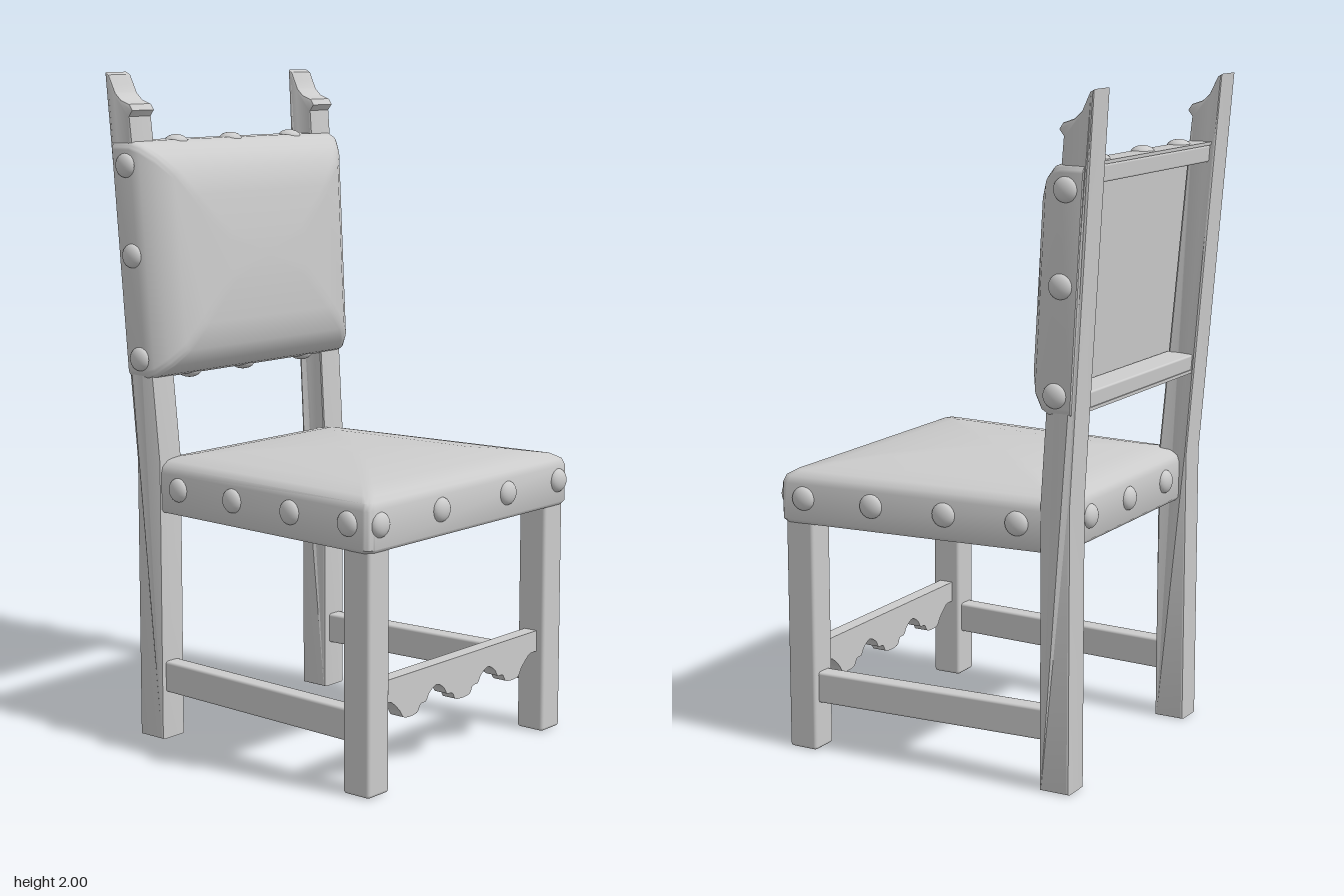
import * as THREE from 'three';
import { toCreasedNormals } from 'three/addons/utils/BufferGeometryUtils.js';
import { RoundedBoxGeometry } from 'three/addons/geometries/RoundedBoxGeometry.js';

const material = new THREE.MeshStandardMaterial({ color: 0xcccccc });

// Rounded rectangle, counter-clockwise
function roundedRect(hx, hy, radius) {
  const r = Math.min(radius, hx, hy), pts = [];
  for (let c = 0; c < 4; c++) {
    const sx = c === 0 || c === 3 ? 1 : -1, sy = c < 2 ? 1 : -1;
    for (let k = 0; k <= 5; k++) {
      const a = (c + k / 5) * Math.PI / 2;
      pts.push([sx * (hx - r) + r * Math.cos(a), sy * (hy - r) + r * Math.sin(a)]);
    }
  }
  return pts;
}

// Upholstery: rings of [inset, height], placed in space by map(x, v, w)
function upholstery(hx, hy, rings, map) {
  const pos = [], idx = [], n = 24;
  rings.forEach(([inset, w], i) => {
    const loop = roundedRect(Math.max(hx - inset, 0), Math.max(hy - inset, 0), 0.025);
    loop.forEach(([x, v], j) => {
      pos.push(...map(x, v, w));
      if (i === 0) return;
      const a = (i - 1) * n + j, b = (i - 1) * n + (j + 1) % n;
      idx.push(a, b, b + n, a, b + n, a + n);
    });
  });
  const g = new THREE.BufferGeometry();
  g.setAttribute('position', new THREE.Float32BufferAttribute(pos, 3));
  g.setIndex(idx);
  return toCreasedNormals(g, 0.75);
}

// Back leg: side profile with carved finial, splayed outwards above the seat
function backLegGeometry(side) {
  const b = 0.006, width = 0.093;
  const profile = [[0.345, 0], [0.44, 0], [0.44, 0.85], [0.522, 2], [0.507, 1.992], [0.494, 1.965],
    [0.482, 1.94], [0.46, 1.92], [0.425, 1.908], [0.413, 1.89], [0.427, 1.872], [0.42, 1.8], [0.345, 0.85]];
  const shape = new THREE.Shape(profile.map(p => new THREE.Vector2(...p)));
  const g = new THREE.ExtrudeGeometry(shape, {
    depth: width - 2 * b, bevelEnabled: true, bevelSize: b, bevelThickness: b, bevelOffset: -b, bevelSegments: 2
  });
  g.translate(0, 0, b - width / 2).rotateY(Math.PI / 2);
  const p = g.attributes.position;
  for (let i = 0; i < p.count; i++) {
    const splay = 0.03 * Math.max(0, p.getY(i) - 0.85) / 1.15;
    p.setX(i, p.getX(i) + side * (0.379 + splay));
  }
  return toCreasedNormals(g, 0.5);
}

// Scalloped front stretcher
function apronGeometry() {
  const half = [[0.03, 0.19], [0.05, 0.212], [0.075, 0.216], [0.092, 0.238], [0.125, 0.254], [0.158, 0.238],
    [0.175, 0.216], [0.2, 0.212], [0.22, 0.19], [0.275, 0.19], [0.297, 0.215], [0.325, 0.24], [0.345, 0.25], [0.385, 0.25]];
  const left = half.map(([x, y]) => new THREE.Vector2(-x, y)).reverse();
  const right = half.map(([x, y]) => new THREE.Vector2(x, y));
  const shape = new THREE.Shape();
  shape.moveTo(-0.385, 0.315);
  shape.lineTo(-0.385, 0.25);
  shape.splineThru([...left.slice(1), ...right]);
  shape.lineTo(0.385, 0.315);
  const g = new THREE.ExtrudeGeometry(shape, { depth: 0.045, bevelEnabled: false, curveSegments: 56 });
  return toCreasedNormals(g.translate(0, 0, 0.42), 0.6);
}

export function createModel() {
  const model = new THREE.Group();
  const add = (name, geometry, x = 0, y = 0, z = 0) => {
    const mesh = new THREE.Mesh(geometry, material);
    mesh.name = name;
    mesh.position.set(x, y, z);
    model.add(mesh);
    return mesh;
  };

  // Legs and side stretchers
  for (const s of [-1, 1]) {
    add('frontLeg', new RoundedBoxGeometry(0.092, 0.74, 0.095, 2, 0.01), s * 0.42, 0.37, 0.4425);
    add('backLeg', backLegGeometry(s));
    const rail = add('sideStretcher', new RoundedBoxGeometry(0.055, 0.095, 0.8, 2, 0.008), s * 0.401, 0.193, 0.025);
    rail.rotation.y = s * 0.05;
  }
  add('frontApron', apronGeometry());

  // Seat: domed and wider at the front
  add('seat', upholstery(0.4475, 0.455, [[1, 0.7], [0.008, 0.7], [0, 0.71], [0, 0.82], [0.007, 0.84],
    [0.03, 0.855], [0.1, 0.868], [0.2, 0.88], [0.32, 0.888], [1, 0.891]],
    (x, v, w) => [x * (1 - 0.16 * v), w, 0.045 - v]));

  // Backrest: padded shell, open at the rear around the frame
  const rearZ = y => -0.47 - 0.065 * (y - 1.45);
  add('backrest', upholstery(0.4535, 0.35, [[1, 0.09], [0.01, 0.09], [0.01, 0], [0, 0], [0, 0.07], [0.01, 0.097],
    [0.04, 0.132], [0.085, 0.163], [0.16, 0.175], [0.28, 0.182], [1, 0.184]],
    (x, v, w) => [x * (1 + 0.047 * v), 1.45 + v, rearZ(1.45 + v) + w]));
  for (const y of [1.133, 1.767]) {
    const rail = add('backRail', new RoundedBoxGeometry(0.74, 0.05, 0.085, 2, 0.006), 0, y, rearZ(y) + 0.046);
    rail.rotation.x = -0.065;
  }

  // Domed nails, flattened along their facing direction
  const dome = new THREE.SphereGeometry(0.036, 20, 8, 0, Math.PI * 2, 0, Math.PI / 2).scale(1, 0.6, 1);
  const up = new THREE.Vector3(0, 1, 0);
  const nail = (x, y, z, nx, ny, nz) => {
    const direction = new THREE.Vector3(nx, ny, nz).normalize();
    add('nail', dome, x, y, z).quaternion.setFromUnitVectors(up, direction);
  };
  for (const x of [-0.43, -0.155, 0.165, 0.425]) nail(x, 0.778, 0.499, 0, 0, 1);
  for (const x of [-0.245, 0, 0.245]) nail(x, 0.778, -0.409, 0, 0, -1);
  for (const s of [-1, 1]) {
    for (const z of [0.42, 0.195, -0.04, -0.27]) {
      nail(s * 0.4475 * (1 - 0.16 * (0.045 - z)), 0.778, z, s, 0, -0.07);
    }
    for (const y of [1.16, 1.465, 1.73]) {
      nail(s * 0.4525 * (1 + 0.047 * (y - 1.45)), y, rearZ(y) + 0.05, s, 0, 0);
    }
  }
  for (const x of [-0.24, 0, 0.275]) {
    nail(x, 1.793, rearZ(1.8) + 0.05, 0, 1, 0);
    nail(x, 1.107, rearZ(1.1) + 0.05, 0, -1, 0);
  }
  return model;
}
